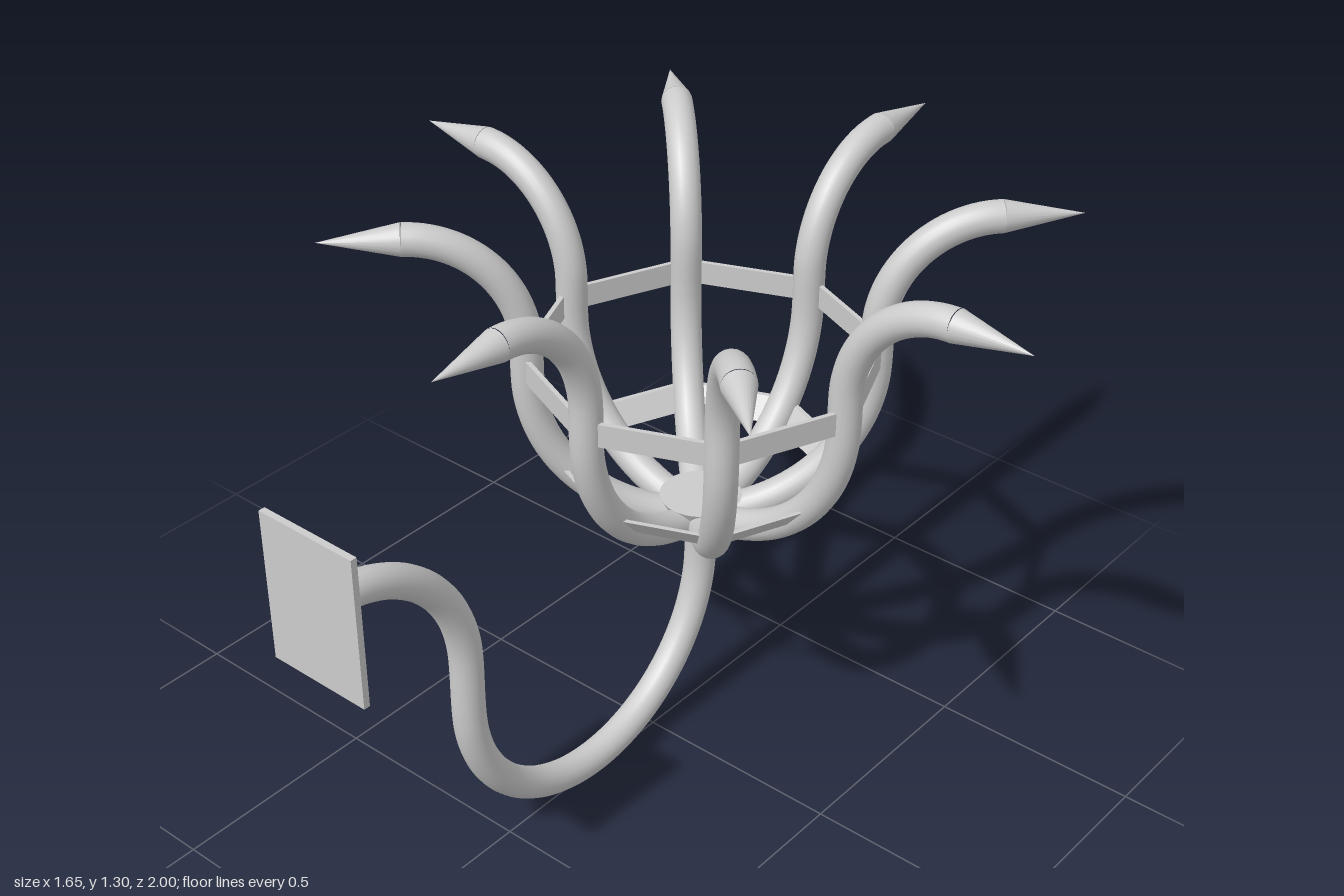
import * as THREE from 'three';

const R = 0.037;          // tube radius
const CUP_Z = -0.17;      // cup axis
const smooth = new THREE.MeshStandardMaterial({ color: 0xcccccc });
const flat = new THREE.MeshStandardMaterial({ color: 0xcccccc, flatShading: true });

function add(parent, name, geometry, material = smooth) {
  const mesh = new THREE.Mesh(geometry, material);
  mesh.name = name;
  parent.add(mesh);
  return mesh;
}

// Points of an elliptical arc in the (z, y) plane, angles in degrees
function arc(cz, cy, rz, ry, from, to, n = 14) {
  return Array.from({ length: n + 1 }, (_, i) => {
    const a = THREE.MathUtils.degToRad(from + (to - from) * i / n);
    return new THREE.Vector3(0, cy + ry * Math.sin(a), cz + rz * Math.cos(a));
  });
}

const tube = (points, segments) =>
  new THREE.TubeGeometry(new THREE.CatmullRomCurve3(points), segments, R, 20);

// Eight-sided band: the corners meet the eight arms
function band(r0, y0, r1, y1, t) {
  const profile = [[r0, y0], [r1, y1], [r1 - t, y1], [r0 - t, y0], [r0, y0]];
  return new THREE.LatheGeometry(profile.map(p => new THREE.Vector2(...p)), 8);
}

export function createModel() {
  const model = new THREE.Group();
  model.name = 'wallTorch';

  // Wall plate, chamfered on the side that carries the pipe
  const plate = new THREE.Group();
  plate.name = 'wallPlate';
  plate.position.set(0, 0.915, 0);
  model.add(plate);
  add(plate, 'plateBase', new THREE.BoxGeometry(0.25, 0.35, 0.015), flat).position.z = 0.9925;
  const bevel = new THREE.BoxGeometry(0.25, 0.35, 0.015);
  const p = bevel.attributes.position;
  for (let i = 0; i < p.count; i++) {
    if (p.getZ(i) < 0) {
      p.setX(i, Math.sign(p.getX(i)) * 0.1);
      p.setY(i, Math.sign(p.getY(i)) * 0.15);
    }
  }
  add(plate, 'plateBevel', bevel, flat).position.z = 0.9775;
  for (const x of [-0.08, 0.08]) for (const y of [-0.13, 0.13]) {
    const screw = add(plate, 'screw', new THREE.SphereGeometry(0.011, 12, 8));
    screw.position.set(x, y, 0.97);
    screw.scale.z = 0.6;
  }

  // S-shaped supporting pipe from the plate to the cup
  const pipe = [
    ...arc(0.97, 0.55, 0.365, 0.365, 90, 180),
    ...arc(0.217, 0.425, 0.388, 0.388, 0, -180, 24),
    new THREE.Vector3(0, 0.5, CUP_Z),
  ];
  add(model, 'supportPipe', tube(pipe, 100));

  const cup = new THREE.Group();
  cup.name = 'cup';
  cup.position.z = CUP_Z;
  model.add(cup);

  // Hub joining pipe and arms
  add(cup, 'hub', new THREE.CylinderGeometry(0.095, 0.037, 0.112, 32)).position.y = 0.519;

  // Eight curved arms with pointed tips
  const armGeometry = tube([
    ...arc(0, 0.915, 0.388, 0.39, -90, 0),
    ...arc(0.645, 0.99, 0.257, 0.27, 180, 90),
  ], 72);
  const tipGeometry = new THREE.ConeGeometry(R, 0.18, 20);
  tipGeometry.rotateX(Math.PI / 2);
  for (let i = 0; i < 8; i++) {
    const arm = new THREE.Group();
    arm.name = 'arm';
    arm.rotation.y = i * Math.PI / 4;
    cup.add(arm);
    add(arm, 'armTube', armGeometry);
    add(arm, 'armTip', tipGeometry).position.set(0, 1.26, 0.735);
  }

  // Upright upper band and sloping lower band
  add(cup, 'upperBand', band(0.407, 0.912, 0.407, 0.968, 0.012), flat);
  add(cup, 'lowerBand', band(0.288, 0.63, 0.33, 0.68, 0.012), flat);

  return model;
}
